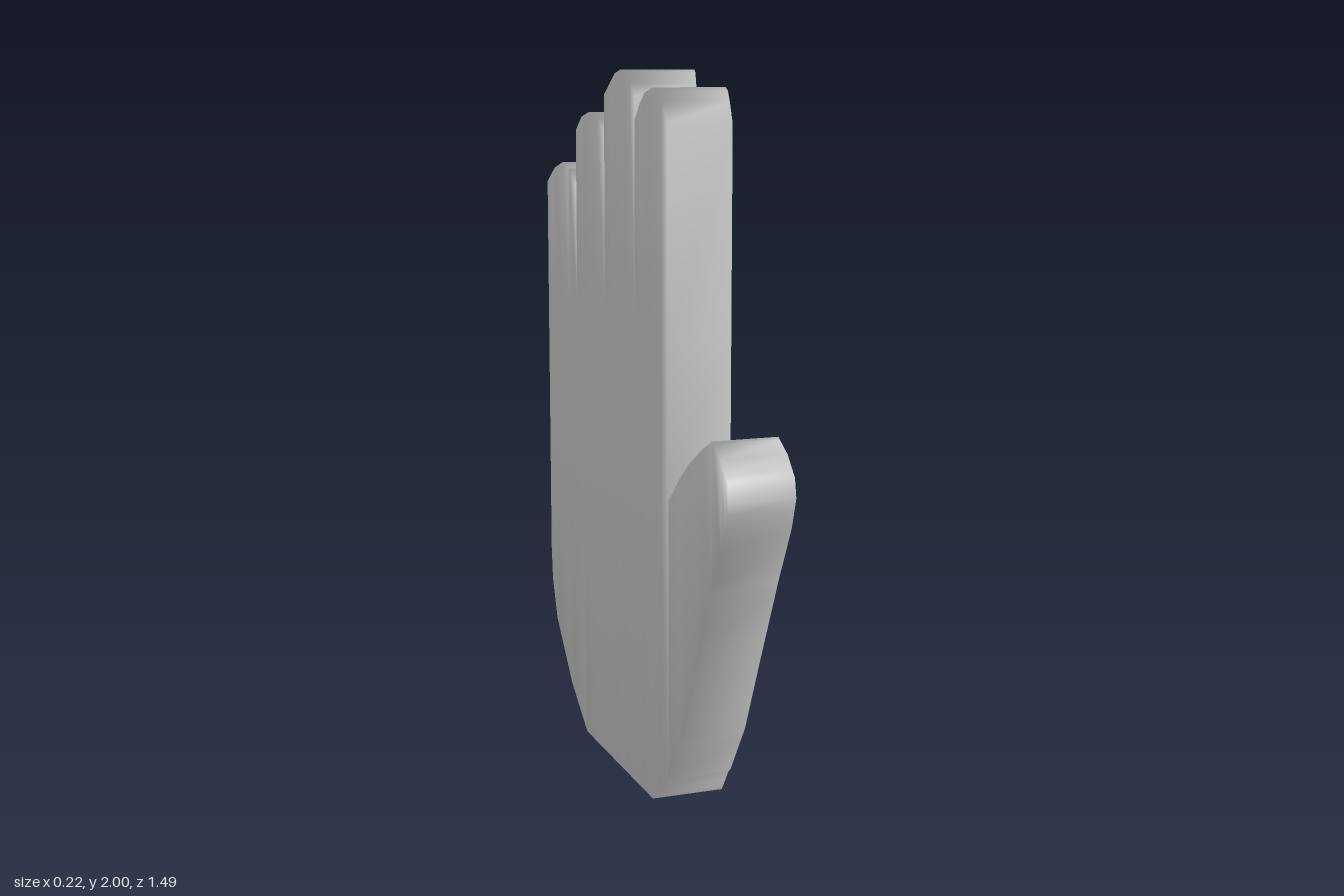
import * as THREE from 'three';
import { mergeVertices } from 'three/addons/utils/BufferGeometryUtils.js';

const BACK = -0.11;

// Underside outline of the whole hand and the two relief profiles, as [z, value] from thumb to little finger
const UNDERSIDE = [[0.745, 0.96], [0.72, 0.88], [0.64, 0.72], [0.52, 0.46], [0.43, 0.26], [0.33, 0.11], [0.2, 0],
  [-0.39, 0], [-0.54, 0.11], [-0.69, 0.28], [-0.735, 0.4], [-0.745, 0.5]];
const FINGER_RELIEF = [[0.745, 0.07], [0.315, 0.07], [0.2, 0.097], [0.06, 0.07], [-0.055, 0.107], [-0.195, 0.07],
  [-0.33, 0.09], [-0.455, 0.07], [-0.745, 0.07]];
const PALM_RELIEF = [[0.745, 0.07], [0.315, 0.07], [0.2, 0.097], [-0.055, 0.107], [-0.195, 0.086],
  [-0.33, 0.09], [-0.455, 0.07], [-0.745, 0.07]];

// Each column runs from fingertip to wrist: tip outline, inner rows, and how many rows of each side are exposed
const COLUMNS = [
  { tip: [[0.745, 0.96], [0.735, 1.01], [0.69, 1.06], [0.63, 1.095], [0.56, 1.06], [0.47, 1.005], [0.4, 0.95], [0.315, 0.87]],
    rows: [], walls: [0, 0] },
  { tip: [[0.315, 1.865], [0.265, 1.92], [0.235, 1.945], [0.2, 1.955], [0.14, 1.94], [0.1, 1.91], [0.06, 1.865]],
    rows: [1.3, 0.87], walls: [2, 1] },
  { tip: [[0.06, 1.93], [0.02, 1.965], [-0.02, 1.993], [-0.055, 2], [-0.1, 1.99], [-0.14, 1.965], [-0.195, 1.93]],
    rows: [1.3, 0.87], walls: [1, 1] },
  { tip: [[-0.195, 1.825], [-0.255, 1.865], [-0.33, 1.88], [-0.4, 1.865], [-0.455, 1.825]],
    rows: [1.3, 0.87], walls: [1, 1] },
  { tip: [[-0.455, 1.66], [-0.52, 1.705], [-0.59, 1.725], [-0.67, 1.705], [-0.745, 1.66]],
    rows: [1.3, 0.87], walls: [1, 3] },
];

// Linear lookup in a profile whose z values descend
function sample(profile, z) {
  for (let i = 1; i < profile.length; i++) {
    const [z0, v0] = profile[i - 1], [z1, v1] = profile[i];
    if (z >= z1) return v0 + (v1 - v0) * (z0 - z) / (z0 - z1);
  }
  return profile[profile.length - 1][1];
}

function addColumn(positions, { tip, rows, walls }) {
  const quad = (a, b, c, d) => positions.push(...a, ...b, ...c, ...a, ...c, ...d);
  const start = tip[0][0], end = tip[tip.length - 1][0];
  const stations = [...new Set([...tip, ...UNDERSIDE].map((p) => p[0]))]
    .filter((z) => z <= start && z >= end).sort((a, b) => b - a);

  // Cross-section rings: down the raised face, then up the flat face
  const rings = stations.map((z) => {
    const heights = [sample(tip, z), ...rows, sample(UNDERSIDE, z)];
    const face = heights.map((y) => [sample(y > 1 ? FINGER_RELIEF : PALM_RELIEF, z), y, z]);
    const flat = heights.map((y) => [BACK, y, z]).reverse();
    return [...face, ...flat];
  });
  const n = rings[0].length;
  for (let i = 0; i < rings.length - 1; i++) {
    for (let j = 0; j < n; j++) {
      const k = (j + 1) % n;
      quad(rings[i][j], rings[i][k], rings[i + 1][k], rings[i + 1][j]);
    }
  }

  // Exposed side walls of the finger
  const first = rings[0], last = rings[rings.length - 1];
  for (let j = 0; j < walls[0]; j++) quad(first[j], first[n - 1 - j], first[n - 2 - j], first[j + 1]);
  for (let j = 0; j < walls[1]; j++) quad(last[j], last[j + 1], last[n - 2 - j], last[n - 1 - j]);
}

export function createModel() {
  const positions = [];
  COLUMNS.forEach((column) => addColumn(positions, column));

  // Shared corners give the soft, continuous shading
  let geometry = new THREE.BufferGeometry();
  geometry.setAttribute('position', new THREE.Float32BufferAttribute(positions, 3));
  geometry = mergeVertices(geometry, 1e-4);
  geometry.computeVertexNormals();

  const hand = new THREE.Mesh(geometry, new THREE.MeshStandardMaterial({ color: 0xcccccc }));
  hand.name = 'hand';
  const group = new THREE.Group();
  group.name = 'openHand';
  group.add(hand);
  return group;
}
